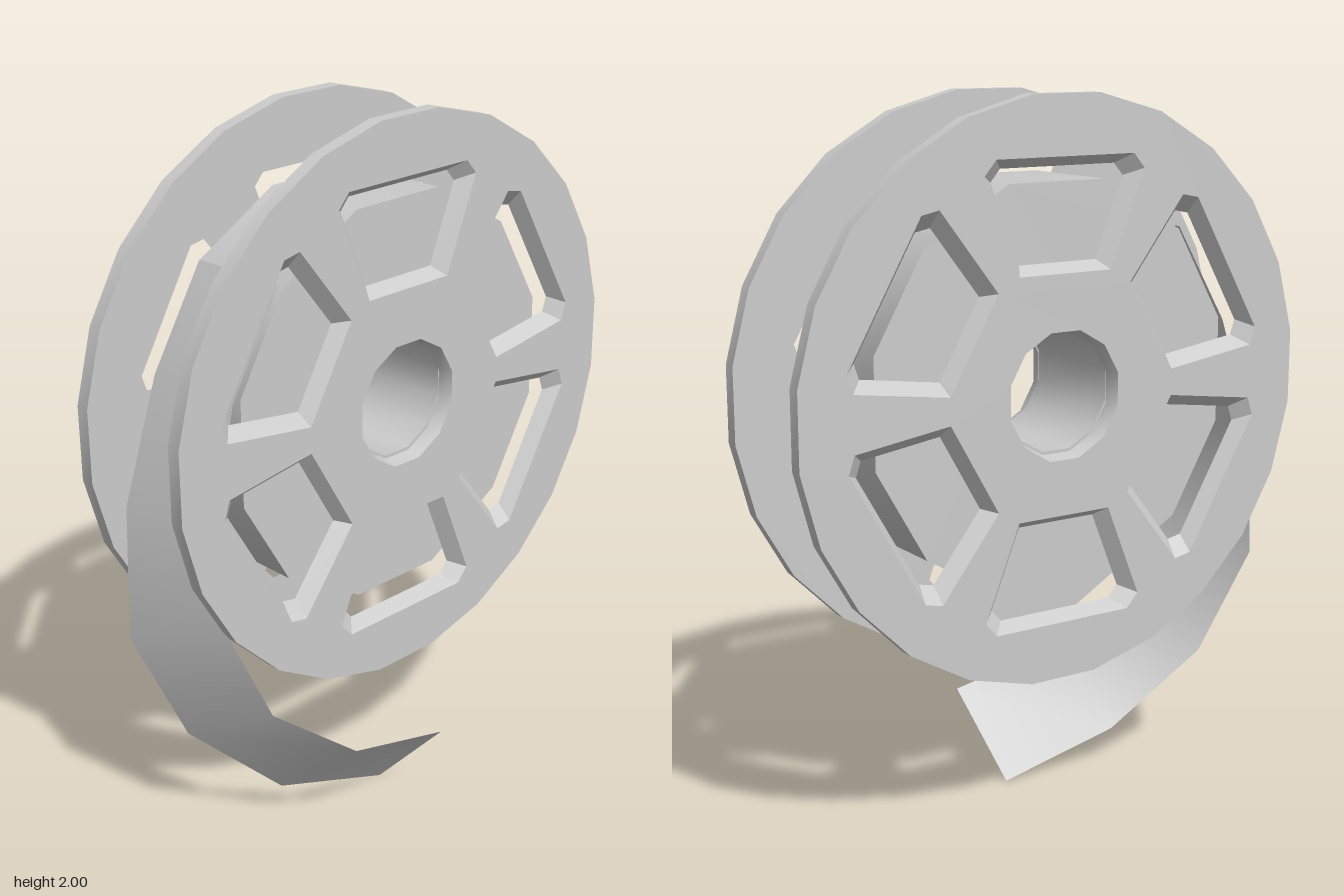
import * as THREE from 'three';
import { toCreasedNormals } from 'three/addons/utils/BufferGeometryUtils.js';

const CENTER_Y = 1.215;
const CREASE = 0.6;

// Regular counter-clockwise polygon, corners half a step off the axes
function ring(radius, sides) {
  return Array.from({ length: sides }, (_, i) => {
    const a = ((i + 0.5) / sides) * Math.PI * 2;
    return new THREE.Vector2(Math.cos(a) * radius, Math.sin(a) * radius);
  });
}

// Side plate: outer face at z = depth, openings narrow towards the inner face
function flangeGeometry(depth) {
  const shape = new THREE.Shape(ring(0.79, 24));
  shape.holes.push(new THREE.Path(ring(0.178, 12)));
  const window = [[-0.145, 0.325], [0.145, 0.325], [0.25, 0.585], [0.215, 0.625], [-0.215, 0.625], [-0.25, 0.585]];
  const origin = new THREE.Vector2();
  for (let k = 0; k < 6; k++) {
    shape.holes.push(new THREE.Path(window.map(([x, y]) =>
      new THREE.Vector2(x, y).rotateAround(origin, (k * Math.PI) / 3))));
  }
  const geo = new THREE.ExtrudeGeometry(shape, { depth, bevelEnabled: false });
  const p = geo.attributes.position;
  for (let i = 0; i < p.count; i++) {
    const x = p.getX(i), y = p.getY(i), r = Math.hypot(x, y);
    if (p.getZ(i) > depth / 2 || r > 0.72) continue;
    if (r < 0.25) {
      // Bore
      p.setXY(i, x * 0.94, y * 0.94);
    } else {
      // Windows: shrink about the window's middle
      const a = Math.round(Math.atan2(x, y) / (Math.PI / 3)) * (Math.PI / 3);
      const cx = Math.sin(a) * 0.47, cy = Math.cos(a) * 0.47;
      p.setXY(i, cx + (x - cx) * 0.83, cy + (y - cy) * 0.83);
    }
  }
  return toCreasedNormals(geo, CREASE);
}

// Ribbon through pairs of edge points [front, back]
function ribbonGeometry(rows) {
  const pos = [];
  for (let i = 0; i < rows.length - 1; i++) {
    const [a, b] = rows[i], [c, d] = rows[i + 1];
    pos.push(...a, ...b, ...c, ...b, ...d, ...c);
  }
  const geo = new THREE.BufferGeometry();
  geo.setAttribute('position', new THREE.Float32BufferAttribute(pos, 3));
  return toCreasedNormals(geo, CREASE);
}

export function createModel() {
  const model = new THREE.Group();
  model.name = 'tapeReel';
  const grey = new THREE.MeshStandardMaterial({ color: 0xcccccc });
  const add = (name, geo, material = grey) => {
    const mesh = new THREE.Mesh(geo, material);
    mesh.name = name;
    model.add(mesh);
    return mesh;
  };

  // Two side plates facing away from each other
  const plate = flangeGeometry(0.04);
  add('frontFlange', plate).position.set(0, CENTER_Y, 0.1);
  const back = add('backFlange', plate);
  back.position.set(0, CENTER_Y, -0.222);
  back.rotation.y = Math.PI;

  // Wound roll with the bore through it
  const rollShape = new THREE.Shape(ring(0.57, 12));
  rollShape.holes.push(new THREE.Path(ring(0.167, 12)));
  const roll = new THREE.ExtrudeGeometry(rollShape, { depth: 0.318, bevelEnabled: false });
  add('woundRoll', toCreasedNormals(roll, CREASE)).position.set(0, CENTER_Y + 0.008, -0.22);

  // Loose end that peels off the roll, twists and curls forward
  const tape = grey.clone();
  tape.side = THREE.DoubleSide;
  add('looseTape', ribbonGeometry([
    [[-0.412, 1.632, 0.09], [-0.412, 1.632, -0.21]],
    [[-0.57, 1.36, 0.09], [-0.575, 1.36, -0.21]],
    [[-0.635, 1.05, 0.09], [-0.69, 1.02, -0.21]],
    [[-0.645, 0.78, 0.1], [-0.72, 0.65, -0.19]],
    [[-0.53, 0.48, 0.165], [-0.61, 0.34, -0.1]],
    [[-0.3, 0.3, 0.245], [-0.37, 0.105, 0.01]],
    [[0.015, 0.23, 0.268], [-0.025, 0.0, 0.06]],
  ]), tape);

  return model;
}
